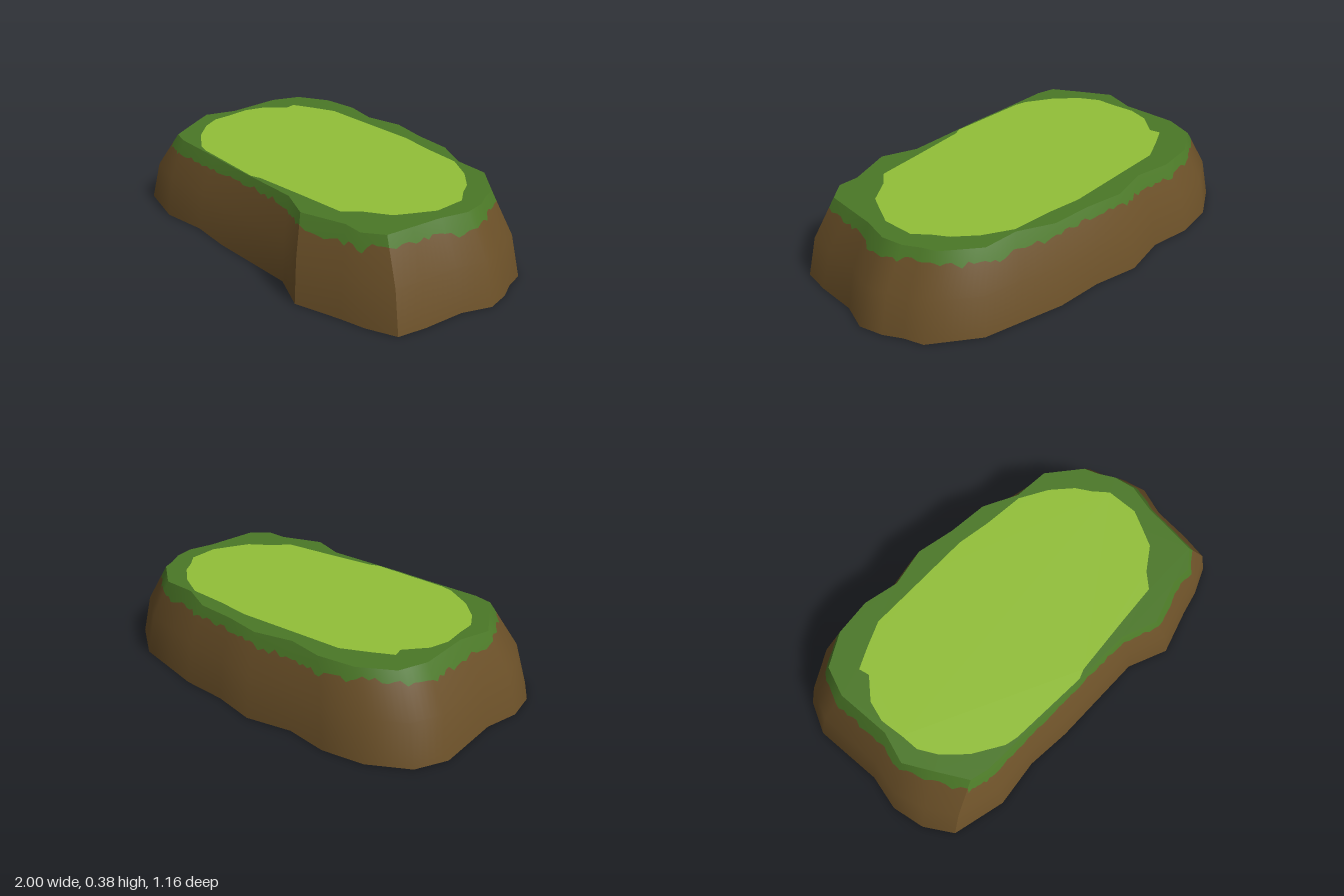
import * as THREE from 'three';

const HEIGHT = 0.375, SHOULDER = 0.19, SHOULDER_INSET = 0.29;

// Foot outline [x, z], running left-back, right, front, left
const foot = [
  [-1, -0.25], [-0.94, -0.4], [-0.77, -0.51], [-0.575, -0.55], [-0.375, -0.53], [-0.16, -0.585], [0.055, -0.55],
  [0.28, -0.55], [0.47, -0.515], [0.665, -0.48], [0.88, -0.34], [0.915, -0.25], [0.965, -0.17], [1, -0.06],
  [0.96, 0.075], [0.96, 0.27], [0.945, 0.4], [0.815, 0.465], [0.7, 0.5], [0.49, 0.577], [0.3, 0.51],
  [-0.16, 0.54], [-0.375, 0.535], [-0.6, 0.577], [-0.855, 0.53], [-0.945, 0.405], [-0.985, 0.25], [-0.96, 0.08],
];
// Matching outline of the flat top
const rim = [
  [-0.84, -0.21], [-0.8, -0.35], [-0.655, -0.445], [-0.48, -0.475], [-0.31, -0.45], [-0.13, -0.5], [0.055, -0.475],
  [0.245, -0.47], [0.41, -0.4], [0.58, -0.4], [0.74, -0.285], [0.77, -0.22], [0.815, -0.15], [0.84, -0.05],
  [0.815, 0.08], [0.81, 0.22], [0.805, 0.35], [0.725, 0.42], [0.63, 0.42], [0.43, 0.5], [0.265, 0.445],
  [-0.13, 0.465], [-0.31, 0.468], [-0.585, 0.478], [-0.675, 0.46], [-0.765, 0.325], [-0.845, 0.2], [-0.81, 0.05],
];
// Bright lawn in the middle of the top
const lawn = [
  [-0.69, -0.2], [-0.705, -0.25], [-0.61, -0.305], [-0.495, -0.365], [-0.29, -0.38], [-0.16, -0.39], [0.04, -0.405],
  [0.2, -0.39], [0.4, -0.385], [0.535, -0.32], [0.635, -0.24], [0.68, -0.175], [0.74, -0.11], [0.755, 0.04],
  [0.715, 0.135], [0.68, 0.215], [0.575, 0.295], [0.52, 0.365], [0.3, 0.395], [0.03, 0.435], [-0.015, 0.455],
  [-0.4, 0.46], [-0.46, 0.45], [-0.6, 0.375], [-0.7, 0.285], [-0.755, 0.2], [-0.765, 0.11], [-0.785, 0], [-0.765, -0.1],
];

const N = foot.length;
const mix = (a, b, t) => a + (b - a) * t;
const mix2 = (p, q, t) => [mix(p[0], q[0], t), mix(p[1], q[1], t)];

function seeded(seed) {
  return () => (seed = (seed * 16807) % 2147483647) / 2147483647;
}

// Outward direction of each wall, and of its two ends (smooth unless the corner is sharp)
const wallNormals = foot.map((p, i) => {
  const q = foot[(i + 1) % N];
  return new THREE.Vector2(q[1] - p[1], p[0] - q[0]).normalize();
});
function endNormal(wall, neighbour) {
  const a = wallNormals[wall], b = wallNormals[(neighbour + N) % N];
  return a.dot(b) < 0.78 ? a : a.clone().add(b).normalize();
}

// Columns around the slope, each with a ragged grass height at both ends
function makeColumns() {
  const random = seeded(77);
  const columns = [];
  for (let i = 0; i < N; i++) {
    const j = (i + 1) % N;
    const length = Math.hypot(foot[j][0] - foot[i][0], foot[j][1] - foot[i][1]);
    const count = Math.max(2, Math.round(length / 0.03));
    for (let c = 0; c < count; c++) {
      const ends = [c / count, (c + 1) / count].map((t) => {
        const n0 = endNormal(i, i - 1), n1 = endNormal(i, i + 1);
        return {
          low: mix2(foot[i], foot[j], t), high: mix2(rim[i], rim[j], t),
          normal: [mix(n0.x, n1.x, t), mix(n0.y, n1.y, t)],
        };
      });
      columns.push({ ends, edge: 0.318 + 0.012 * Math.sin(i * 1.3 + 0.6) + (random() - 0.5) * 0.026 });
    }
  }
  columns.forEach((col, k) => {
    col.ends[0].edge = col.edge;
    col.ends[1].edge = columns[(k + 1) % columns.length].edge;
  });
  return columns;
}

// Skin between stacked heights; each height is a function of a column end
function slopeBand(columns, heights) {
  const positions = [], normals = [];
  const add = (end, y) => {
    const k = y < SHOULDER
      ? SHOULDER_INSET * y / SHOULDER
      : mix(SHOULDER_INSET, 1, (y - SHOULDER) / (HEIGHT - SHOULDER));
    const [x, z] = mix2(end.low, end.high, k);
    const n = new THREE.Vector3(end.normal[0], mix(0.22, 0.55, y / HEIGHT), end.normal[1]).normalize();
    positions.push(x, y, z);
    normals.push(n.x, n.y, n.z);
  };
  for (const { ends: [a, b] } of columns) {
    for (let r = 0; r < heights.length - 1; r++) {
      const lo = heights[r], hi = heights[r + 1];
      add(b, lo(b)); add(a, lo(a)); add(a, hi(a));
      add(b, lo(b)); add(a, hi(a)); add(b, hi(b));
    }
  }
  const geometry = new THREE.BufferGeometry();
  geometry.setAttribute('position', new THREE.Float32BufferAttribute(positions, 3));
  geometry.setAttribute('normal', new THREE.Float32BufferAttribute(normals, 3));
  return geometry;
}

// Flat cap facing up or down
function cap(outline, y, up, hole) {
  const s = up ? -1 : 1;
  const toPoints = (list) => list.map(([x, z]) => new THREE.Vector2(x, s * z));
  const shape = new THREE.Shape(toPoints(outline));
  if (hole) shape.holes.push(new THREE.Path(toPoints(hole)));
  return new THREE.ShapeGeometry(shape).rotateX(s * Math.PI / 2).translate(0, y, 0);
}

export function createModel() {
  const material = (name, color) => {
    const m = new THREE.MeshStandardMaterial({ color });
    m.name = name;
    return m;
  };
  const earth = material('earth brown', 0x6b5028);
  const darkGrass = material('dark grass', 0x4b7827);
  const lightGrass = material('light grass', 0x92c038);

  const group = new THREE.Group();
  group.name = 'grassyMound';
  const part = (name, geometry, mat) => {
    const mesh = new THREE.Mesh(geometry, mat);
    mesh.name = name;
    group.add(mesh);
  };

  const columns = makeColumns();
  const grassEdge = (end) => end.edge;
  part('earthSlope', slopeBand(columns, [() => 0, () => SHOULDER, grassEdge]), earth);
  part('grassFringe', slopeBand(columns, [grassEdge, () => HEIGHT]), darkGrass);
  part('underside', cap(foot, 0, false), earth);
  part('grassBorder', cap(rim, HEIGHT, true, lawn), darkGrass);
  part('lawn', cap(lawn, HEIGHT, true), lightGrass);
  return group;
}
